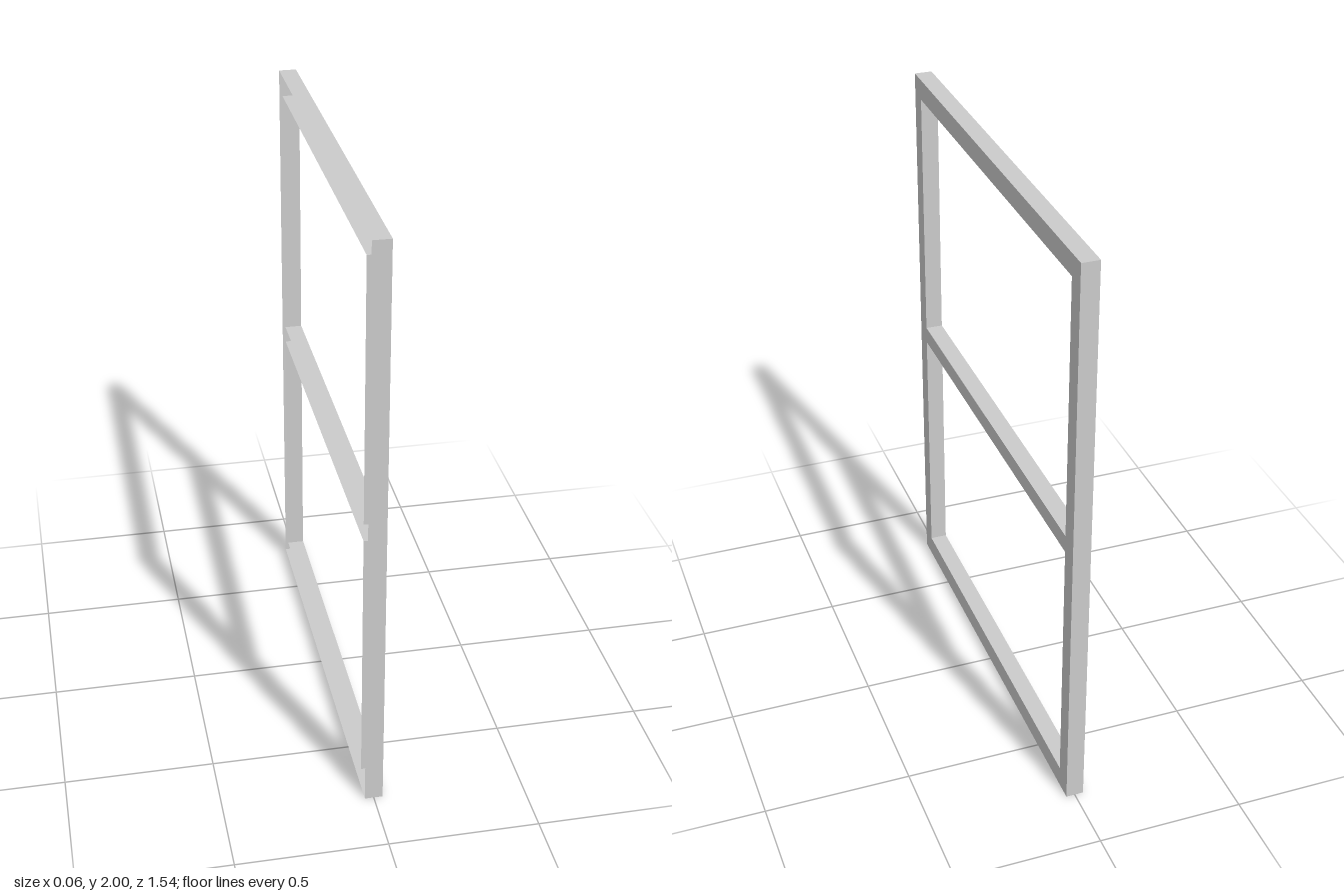
import * as THREE from 'three';
import { mergeGeometries } from 'three/addons/utils/BufferGeometryUtils.js';

const DEPTH = 0.06;
const HALF_WIDTH = 0.772;

// Counter-clockwise rectangle, centred across the width
function rectangle(halfWidth, bottom, top) {
  return [[-halfWidth, bottom], [halfWidth, bottom], [halfWidth, top], [-halfWidth, top]]
    .map(([x, y]) => new THREE.Vector2(x, y));
}

// Thin walls running back from the face along a closed outline
function wallGeometry(points) {
  const walls = points.map((p, i) => {
    const q = points[(i + 1) % points.length];
    return new THREE.PlaneGeometry(p.distanceTo(q), DEPTH)
      .rotateX(Math.PI / 2)
      .rotateZ(Math.atan2(q.y - p.y, q.x - p.x))
      .translate((p.x + q.x) / 2, (p.y + q.y) / 2, 0);
  });
  return mergeGeometries(walls);
}

export function createModel() {
  const group = new THREE.Group();
  group.name = 'windowFrame';
  const material = new THREE.MeshStandardMaterial({
    color: 0xcccccc, flatShading: true, side: THREE.DoubleSide,
  });

  const outline = rectangle(HALF_WIDTH, 0, 2);
  // Clockwise openings above and below the middle rail
  const openings = [[0.072, 0.97], [1.03, 1.928]]
    .map(([bottom, top]) => rectangle(0.707, bottom, top).reverse());

  const add = (name, geometry) => {
    const mesh = new THREE.Mesh(geometry.rotateY(Math.PI / 2), material);
    mesh.name = name;
    group.add(mesh);
  };

  // Flat face with both openings; the opposite side is an open channel
  const shape = new THREE.Shape(outline);
  shape.holes = openings.map((points) => new THREE.Path(points));
  add('frameFace', new THREE.ShapeGeometry(shape).translate(0, 0, DEPTH / 2));

  // Outer rim and the lining of each opening
  add('outerRim', wallGeometry(outline));
  ['lowerOpeningLining', 'upperOpeningLining'].forEach((name, i) => add(name, wallGeometry(openings[i])));

  return group;
}
